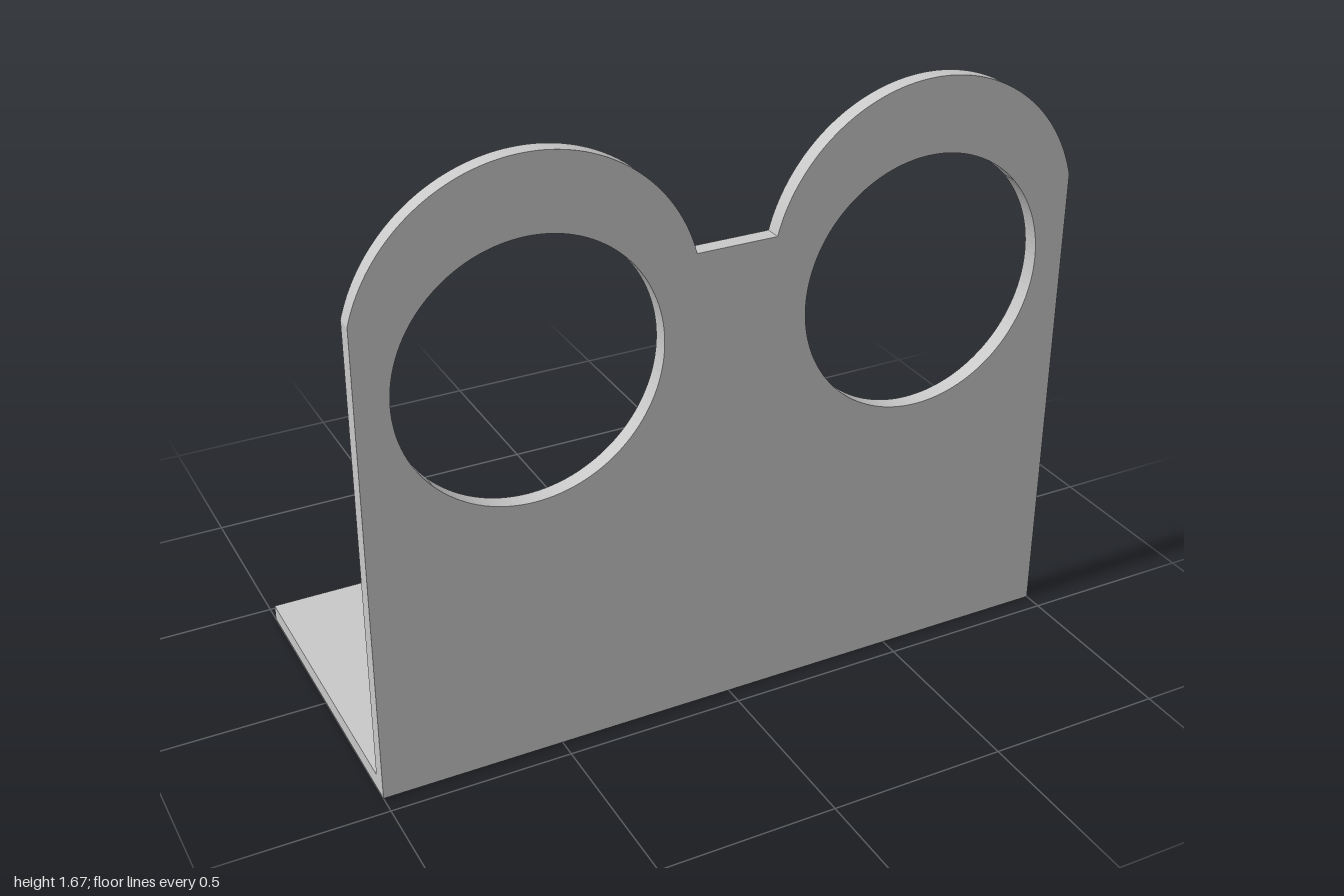
import * as THREE from 'three';

const T = 0.045;          // sheet thickness
const DEPTH = 0.446;      // half depth of the bracket
const RING_X = 0.556;     // sideways offset of the two round openings

export function createModel() {
  const group = new THREE.Group();
  group.name = 'sensorBracket';
  const grey = new THREE.MeshStandardMaterial({ color: 0xc8c8c8 });
  grey.name = 'light grey';

  const addSheet = (name, shape) => {
    const geometry = new THREE.ExtrudeGeometry(shape, { depth: T, bevelEnabled: false, curveSegments: 64 });
    const mesh = new THREE.Mesh(geometry, grey);
    mesh.name = name;
    group.add(mesh);
    return mesh;
  };

  // Upright plate: straight sides, two round lobes joined by a short flat bridge
  const shoulderY = 1.333, lobeY = 1.214, lobeR = 0.46;
  const a = Math.asin((shoulderY - lobeY) / lobeR);
  const face = new THREE.Shape();
  face.moveTo(-1, 0);
  face.lineTo(1, 0);
  face.lineTo(1, shoulderY);
  for (const x of [RING_X, -RING_X]) face.absarc(x, lobeY, lobeR, a, Math.PI - a, false);
  face.lineTo(-1, shoulderY);
  face.closePath();

  // Round openings
  for (const x of [-RING_X, RING_X]) {
    face.holes.push(new THREE.Path().absarc(x, 1.112, 0.356, 0, Math.PI * 2, true));
  }
  addSheet('uprightPlate', face).position.z = DEPTH - T;

  // Base plate with a rectangular slot, drawn in x and -z, then laid flat
  const base = new THREE.Shape([
    [-1, T - DEPTH], [1, T - DEPTH], [1, DEPTH], [-1, DEPTH],
  ].map(([x, y]) => new THREE.Vector2(x, y)));
  base.holes.push(new THREE.Path([
    [-0.333, -0.134], [-0.333, 0.136], [0.333, 0.136], [0.333, -0.134],
  ].map(([x, y]) => new THREE.Vector2(x, y))));
  addSheet('basePlate', base).rotation.x = -Math.PI / 2;

  return group;
}
